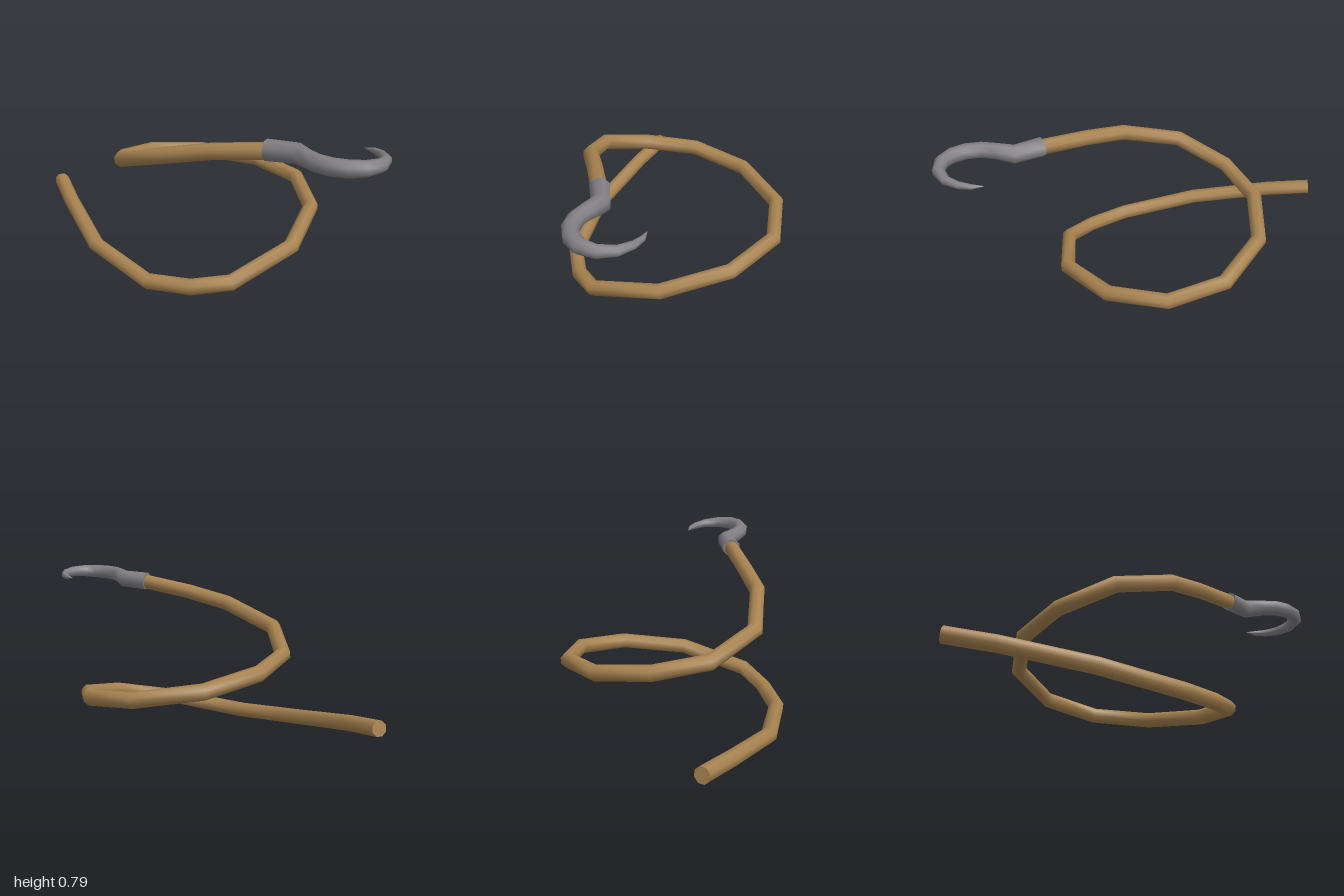
import * as THREE from 'three';

// Sweeps a round section along points [x, y, z, radius], with flat capped ends.
function sweep(points, sides) {
  const centres = points.map(p => new THREE.Vector3(p[0], p[1], p[2]));
  const last = centres.length - 1;
  const up = new THREE.Vector3(0, 1, 0);
  const positions = [], indices = [];
  const ring = i => {
    const dir = new THREE.Vector3();
    if (i > 0) dir.add(centres[i].clone().sub(centres[i - 1]).normalize());
    if (i < last) dir.add(centres[i + 1].clone().sub(centres[i]).normalize());
    dir.normalize();
    const side = new THREE.Vector3().crossVectors(up, dir).normalize();
    const top = new THREE.Vector3().crossVectors(dir, side);
    for (let j = 0; j < sides; j++) {
      const a = (j + 0.5) / sides * Math.PI * 2;
      const v = centres[i].clone()
        .addScaledVector(side, Math.cos(a) * points[i][3])
        .addScaledVector(top, Math.sin(a) * points[i][3]);
      positions.push(v.x, v.y, v.z);
    }
  };
  for (let i = 0; i <= last; i++) ring(i);
  for (let i = 0; i < last; i++) {
    for (let j = 0; j < sides; j++) {
      const k = (j + 1) % sides;
      const a = i * sides + j, b = i * sides + k;
      indices.push(a, b, b + sides, a, b + sides, a + sides);
    }
  }
  // end caps have their own vertices so the rims stay sharp
  for (const end of [0, last]) {
    const start = positions.length / 3;
    ring(end);
    for (let j = 1; j < sides - 1; j++) {
      if (end === 0) indices.push(start, start + j + 1, start + j);
      else indices.push(start, start + j, start + j + 1);
    }
  }
  const geometry = new THREE.BufferGeometry();
  geometry.setAttribute('position', new THREE.Float32BufferAttribute(positions, 3));
  geometry.setIndex(indices);
  geometry.computeVertexNormals();
  return geometry;
}

export function createModel() {
  const group = new THREE.Group();
  const ropeTan = new THREE.MeshStandardMaterial({ color: 0xa88350 });
  ropeTan.name = 'rope tan';
  const steelGrey = new THREE.MeshStandardMaterial({ color: 0x828084 });
  steelGrey.name = 'steel grey';

  const add = (name, geometry, material) => {
    const mesh = new THREE.Mesh(geometry, material);
    mesh.name = name;
    group.add(mesh);
  };

  // rope rising in one loose coil from its free end to the hook
  const ropePath = [
    [-0.17, 0.19, -0.98],
    [-0.28, 0.155, -0.78],
    [-0.455, 0.08, -0.41],
    [-0.51, 0.038, -0.01],
    [-0.45, 0.056, 0.20],
    [-0.35, 0.09, 0.355],
    [-0.02, 0.172, 0.452],
    [0.30, 0.235, 0.35],
    [0.495, 0.28, 0.13],
    [0.507, 0.315, -0.145],
    [0.335, 0.36, -0.40],
    [0.07, 0.41, -0.505],
    [-0.185, 0.453, -0.465],
    [-0.38, 0.54, -0.28],
    [-0.395, 0.635, 0.02],
    [-0.335, 0.685, 0.23],
    [-0.265, 0.728, 0.49],
  ];
  add('rope', sweep(ropePath.map(p => [...p, 0.038]), 8), ropeTan);

  // socket and tapering hook in one piece
  add('hook', sweep([
    [-0.268, 0.729, 0.47, 0.047],
    [-0.238, 0.737, 0.61, 0.045],
    [-0.285, 0.745, 0.69, 0.039],
    [-0.312, 0.750, 0.75, 0.038],
    [-0.319, 0.753, 0.82, 0.038],
    [-0.302, 0.756, 0.885, 0.037],
    [-0.26, 0.758, 0.94, 0.034],
    [-0.19, 0.757, 0.966, 0.029],
    [-0.115, 0.753, 0.948, 0.023],
    [-0.062, 0.749, 0.90, 0.018],
    [-0.034, 0.746, 0.85, 0.013],
    [-0.024, 0.743, 0.80, 0.002],
  ], 8), steelGrey);

  return group;
}
